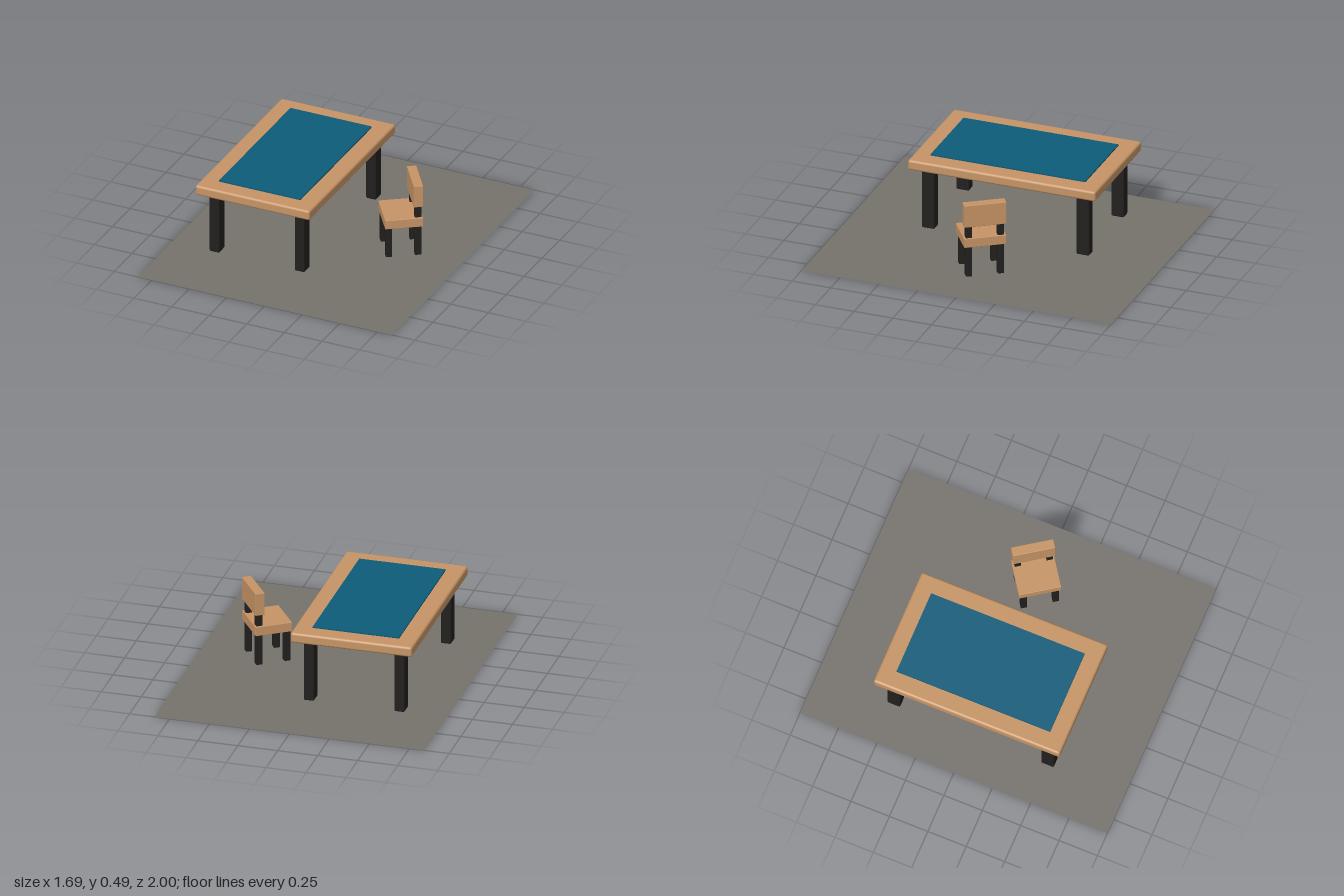
import * as THREE from 'three';
import { RoundedBoxGeometry } from 'three/addons/geometries/RoundedBoxGeometry.js';

const material = (color, side = THREE.FrontSide) => new THREE.MeshStandardMaterial({ color, side });

export function createModel() {
  const wood = material(0xc69465);
  const dark = material(0x22201e);
  const teal = material(0x0d5c79);
  const grey = material(0x76726c, THREE.DoubleSide);

  // Softly edged box given by its centre, bottom and top heights, and footprint
  function block(parent, name, mat, [x, z], [y0, y1], [w, d], r) {
    const h = y1 - y0;
    const geo = r ? new RoundedBoxGeometry(w, h, d, 2, r) : new THREE.BoxGeometry(w, h, d);
    const mesh = new THREE.Mesh(geo, mat);
    mesh.name = name;
    mesh.position.set(x, (y0 + y1) / 2, z);
    parent.add(mesh);
  }

  const model = new THREE.Group();
  model.name = 'tableAndChair';

  // Floor sheet
  const floor = new THREE.Mesh(new THREE.PlaneGeometry(1.69, 2), grey);
  floor.name = 'floor';
  floor.rotation.x = -Math.PI / 2;
  model.add(floor);

  // Table
  const table = new THREE.Group();
  table.name = 'table';
  table.position.x = -0.27;
  block(table, 'tableTop', wood, [0, 0], [0.41, 0.476], [0.76, 1.212], 0.015);
  block(table, 'tableMat', teal, [0, 0], [0.47, 0.485], [0.54, 1.0]);
  for (const sx of [-1, 1]) for (const sz of [-1, 1]) {
    block(table, 'tableLeg', dark, [sx * 0.283, sz * 0.5], [0.01, 0.42], [0.065, 0.083], 0.008);
  }
  model.add(table);

  // Chair, turned to face the table at an angle; its back is on local +x
  const chair = new THREE.Group();
  chair.name = 'chair';
  chair.position.set(0.432, 0, 0.003);
  chair.rotation.y = 0.605;
  block(chair, 'chairSeat', wood, [0, 0], [0.21, 0.27], [0.231, 0.26], 0.003);
  block(chair, 'chairBack', wood, [0.087, 0], [0.345, 0.49], [0.058, 0.26], 0.003);
  for (const sz of [-1, 1]) {
    block(chair, 'chairFrontLeg', dark, [-0.09, sz * 0.098], [0.012, 0.215], [0.039, 0.039], 0.004);
    block(chair, 'chairBackLeg', dark, [0.087, sz * 0.098], [0.012, 0.35], [0.039, 0.039], 0.004);
  }
  model.add(chair);

  return model;
}
